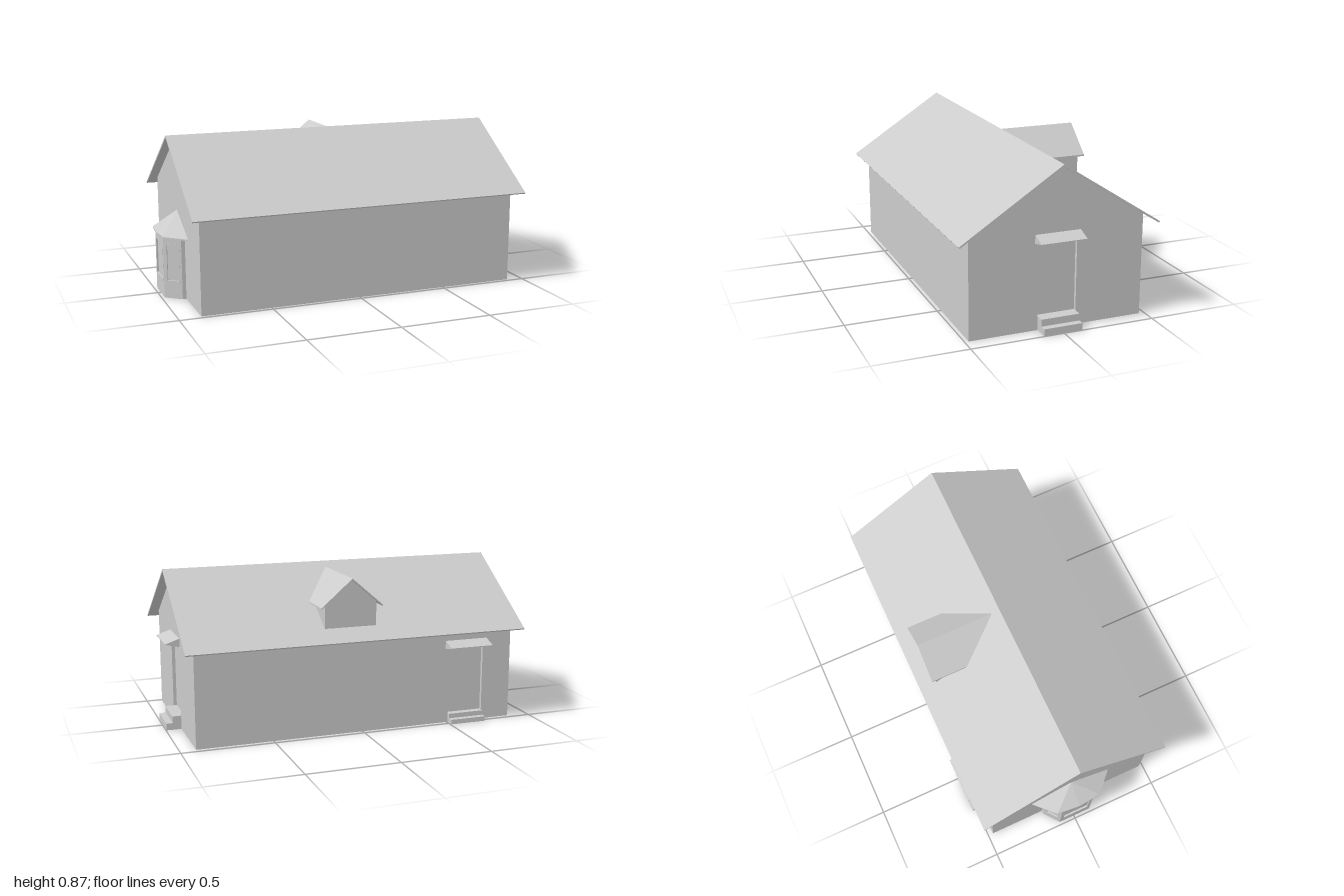
import * as THREE from 'three';
import { ConvexGeometry } from 'three/addons/geometries/ConvexGeometry.js';

const mat = new THREE.MeshStandardMaterial({ color: 0xcccccc, side: THREE.DoubleSide, flatShading: true });
const X0 = -0.88, X1 = 0.915;             // end walls
const ZC = 0.004, HALF = 0.475;           // ridge line and half depth
const RIDGE = 0.867, PITCH = 0.648;       // roof top height and slope
const ROOF_T = 0.011;

const V = (x, y, z) => new THREE.Vector3(x, y, z);

function add(parent, name, geo, x = 0, y = 0, z = 0) {
  const m = new THREE.Mesh(geo, mat);
  m.name = name;
  m.position.set(x, y, z);
  parent.add(m);
  return m;
}

function poly(points) {
  return new THREE.Shape(points.map(p => new THREE.Vector2(p[0], p[1])));
}
const rect = (x0, y0, x1, y1) => poly([[x0, y0], [x1, y0], [x1, y1], [x0, y1]]);

function withHole(shape, hole) {
  shape.holes.push(hole);
  return shape;
}

function extrude(shape, depth) {
  return new THREE.ExtrudeGeometry(shape, { depth, bevelEnabled: false });
}

// Box missing one face (order: +x -x +y -y +z -z)
function openBox(w, h, d, face) {
  const g = new THREE.BoxGeometry(w, h, d);
  const idx = Array.from(g.index.array);
  idx.splice(face * 6, 6);
  g.setIndex(idx);
  g.clearGroups();
  return g;
}

// Flat polygon in space, as a fan
function facet(pts) {
  const out = [];
  for (let i = 1; i < pts.length - 1; i++) {
    for (const p of [pts[0], pts[i], pts[i + 1]]) out.push(p.x, p.y, p.z);
  }
  const g = new THREE.BufferGeometry();
  g.setAttribute('position', new THREE.Float32BufferAttribute(out, 3));
  g.computeVertexNormals();
  return g;
}

// Recessed door with hollow steps and a bracketed canopy; local z points outward
function entrance(name, o) {
  const g = new THREE.Group();
  g.name = name;
  const h = o.top - o.step, r = 0.018;
  add(g, 'door', openBox(o.half * 2, h, r, 4), 0, o.step + h / 2, -r / 2);
  const s = o.step / 2;
  add(g, 'lowerStep', openBox(o.half * 2, s, o.run, 3), 0, s / 2, o.run / 2);
  add(g, 'upperStep', openBox(o.half * 2, s, o.tread, 3), 0, s * 1.5, o.tread / 2);

  const [yTop, yTip, yLow] = o.canopy, cw = 0.124, t = 0.005;
  const slab = extrude(poly([[0, yTop], [o.reach, yTip], [o.reach, yTip - t], [0, yTop - t]]), cw * 2);
  add(g, 'canopy', slab, cw, 0, 0).rotation.y = -Math.PI / 2;
  for (const x of [-cw + 0.016, cw]) {
    const b = extrude(poly([[0, yTop - t], [o.reach - 0.004, yTip - t / 2], [0, yLow]]), 0.016);
    add(g, 'canopyBracket', b, x, 0, 0).rotation.y = -Math.PI / 2;
  }
  return g;
}

// Panel of the bay between two plan points, with a framed, recessed window
function bayPanel(a, b, height) {
  const g = new THREE.Group();
  g.name = 'bayPanel';
  const dx = b[0] - a[0], dz = b[1] - a[1], w = Math.hypot(dx, dz);
  g.position.set(a[0], 0, a[1]);
  g.rotation.y = Math.atan2(-dz, dx);
  if (w < 0.05) {
    add(g, 'bayPost', new THREE.ShapeGeometry(rect(0, 0, w, height)));
    return g;
  }
  const m = 0.012, y0 = 0.09, y1 = 0.3, f = 0.008;
  add(g, 'bayWall', new THREE.ShapeGeometry(withHole(rect(0, 0, w, height), rect(m, y0, w - m, y1))));
  add(g, 'windowPane', openBox(w - 2 * m, y1 - y0, 0.01, 4), w / 2, (y0 + y1) / 2, -0.005);
  const frame = withHole(rect(m, y0, w - m, y1), rect(m + f, y0 + f, w - m - f, y1 - f));
  add(g, 'windowFrame', extrude(frame, 0.008), 0, 0, -0.007);
  return g;
}

function bayWindow() {
  const g = new THREE.Group();
  g.name = 'bayWindow';
  const H = 0.34;
  const plan = [[X0, -0.16], [-0.9, -0.16], [-0.983, -0.095], [-0.983, 0.095], [-0.9, 0.16], [X0, 0.16]];
  for (let i = 0; i < plan.length - 1; i++) g.add(bayPanel(plan[i], plan[i + 1], H));
  // Faceted half-pyramid roof
  const eave = [[X0, -0.235], [-0.988, -0.13], [-1, 0], [-0.988, 0.13], [X0, 0.235]];
  const pts = [V(X0, 0.458, 0)];
  for (const [x, z] of eave) pts.push(V(x, 0.346, z), V(x, 0.338, z));
  add(g, 'bayRoof', new ConvexGeometry(pts));
  g.position.z = ZC;
  return g;
}

function dormer() {
  const g = new THREE.Group();
  g.name = 'dormer';
  const xc = 0.062, top = 0.84, eave = 0.692, hw = 0.172, zEnd = -0.472;
  const t = 0.008, zWall = -0.445, ww = 0.145;
  const zOn = y => ZC - (RIDGE - y) / PITCH;          // where a height meets the main roof
  const slope = (top - eave) / hw;
  const wallTop = top - slope * ww - t;
  const base = RIDGE - PITCH * (ZC - zWall);
  for (const s of [-1, 1]) {
    const quad = [
      V(xc, top, zEnd), V(xc, top, zOn(top)),
      V(xc + s * hw, eave, zOn(eave)), V(xc + s * hw, eave, zEnd)
    ];
    const lower = quad.map(p => V(p.x, p.y - t, p.z));
    add(g, 'dormerRoof', new ConvexGeometry([...quad, ...lower]));
    const x = xc + s * ww;
    add(g, 'dormerSide', facet([V(x, base, zWall), V(x, wallTop, zWall), V(x, wallTop, zOn(wallTop))]));
  }
  add(g, 'dormerGable', facet([
    V(xc + ww, base, zWall), V(xc - ww, base, zWall),
    V(xc - ww, wallTop, zWall), V(xc, top - t, zWall), V(xc + ww, wallTop, zWall)
  ]));
  return g;
}

export function createModel() {
  const house = new THREE.Group();
  house.name = 'house';
  const peak = RIDGE - ROOF_T, wallH = peak - PITCH * HALF;
  const gable = () => poly([[-HALF, 0], [HALF, 0], [HALF, wallH], [0, peak], [-HALF, wallH]]);

  const side = { half: 0.105, step: 0.075, top: 0.477, run: 0.082, tread: 0.047, reach: 0.077, canopy: [0.508, 0.482, 0.462] };
  const back = { half: 0.103, step: 0.052, top: 0.435, run: 0.051, tread: 0.02, reach: 0.077, canopy: [0.464, 0.438, 0.42] };
  const backX = -0.608;

  // Walls, open underneath
  const rightGable = withHole(gable(), rect(-side.half, side.step, side.half, side.top));
  add(house, 'doorGableWall', new THREE.ShapeGeometry(rightGable), X1, 0, ZC).rotation.y = Math.PI / 2;
  const bayGable = poly([
    [-HALF, 0], [-0.16, 0], [-0.16, 0.34], [0.16, 0.34], [0.16, 0],
    [HALF, 0], [HALF, wallH], [0, peak], [-HALF, wallH]
  ]);
  add(house, 'bayGableWall', new THREE.ShapeGeometry(bayGable), X0, 0, ZC).rotation.y = -Math.PI / 2;
  add(house, 'frontWall', new THREE.ShapeGeometry(rect(X0, 0, X1, wallH)), 0, 0, ZC + HALF);
  const backWall = withHole(rect(-X1, 0, -X0, wallH),
    rect(-backX - back.half, back.step, -backX + back.half, back.top));
  add(house, 'backWall', new THREE.ShapeGeometry(backWall), 0, 0, ZC - HALF).rotation.y = Math.PI;

  // Thin gabled roof with overhangs
  const e = 0.543, yE = RIDGE - PITCH * e, ix = 0.006, iy = 0.007;
  const roof = poly([
    [0, RIDGE], [-e, yE], [-e + ix, yE - iy],
    [0, peak], [e - ix, yE - iy], [e, yE]
  ]);
  add(house, 'roof', extrude(roof, 1.9), -0.93, 0, ZC).rotation.y = Math.PI / 2;

  // Entrances
  const sideDoor = entrance('sideEntrance', side);
  sideDoor.position.set(X1, 0, ZC);
  sideDoor.rotation.y = Math.PI / 2;
  const backDoor = entrance('backEntrance', back);
  backDoor.position.set(backX, 0, ZC - HALF);
  backDoor.rotation.y = Math.PI;

  house.add(sideDoor, backDoor, bayWindow(), dormer());
  return house;
}
